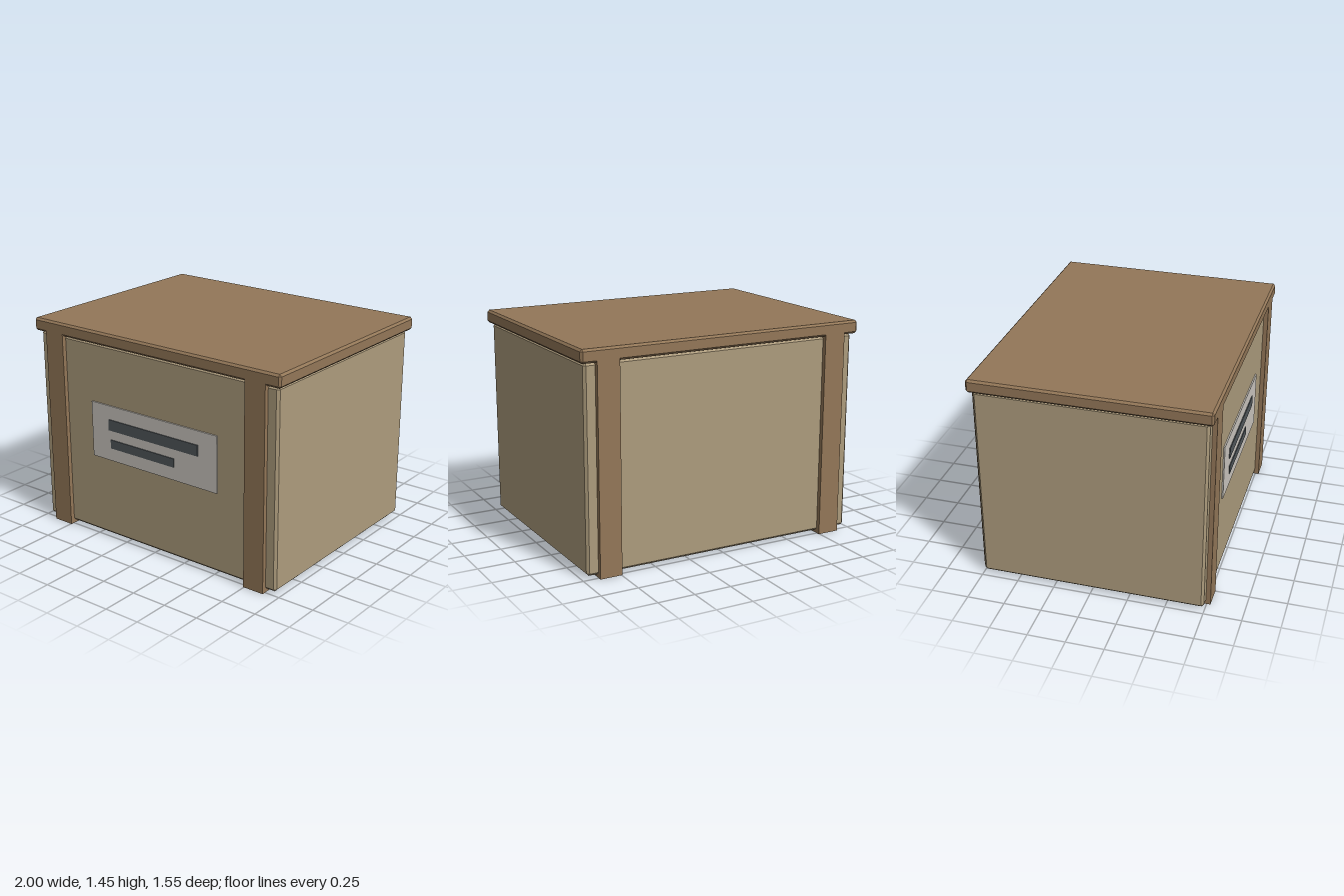
import * as THREE from 'three';
import { ConvexGeometry } from 'three/addons/geometries/ConvexGeometry.js';

const material = (name, color) => {
  const m = new THREE.MeshStandardMaterial({ color });
  m.name = name;
  return m;
};

// Box with every edge cut by a flat chamfer c
function chamferedBox(w, h, d, c) {
  const points = [];
  for (const x of [-1, 1]) for (const y of [-1, 1]) for (const z of [-1, 1]) {
    const [X, Y, Z] = [x * w / 2, y * h / 2, z * d / 2];
    points.push(
      new THREE.Vector3(X, Y - y * c, Z - z * c),
      new THREE.Vector3(X - x * c, Y, Z - z * c),
      new THREE.Vector3(X - x * c, Y - y * c, Z));
  }
  return new ConvexGeometry(points);
}

export function createModel() {
  const group = new THREE.Group();
  const card = material('cardboard', 0xad9c7d);
  const wood = material('brown wood', 0x937758);
  const paper = material('label paper', 0xcbc7c0);
  const ink = material('dark ink', 0x51575b);

  // Place a part by its extents; a chamfer of 0 gives a plain box
  function add(name, mat, [x0, x1], [y0, y1], [z0, z1], c = 0) {
    const size = [x1 - x0, y1 - y0, z1 - z0];
    const geometry = c ? chamferedBox(...size, c) : new THREE.BoxGeometry(...size);
    const mesh = new THREE.Mesh(geometry, mat);
    mesh.name = name;
    mesh.position.set((x0 + x1) / 2, (y0 + y1) / 2, (z0 + z1) / 2);
    group.add(mesh);
  }

  add('body', card, [-0.97, 0.97], [0.02, 1.36], [-0.745, 0.745], 0.016);
  add('lid', wood, [-1, 1], [1.362, 1.45], [-0.775, 0.775], 0.014);

  // Straps wrap the front, back and underside
  add('leftStrap', wood, [0.745, 0.895], [0, 1.376], [-0.775, 0.775]);
  add('rightStrap', wood, [-0.895, -0.745], [0, 1.376], [-0.775, 0.775]);

  // Front label with two printed bars
  add('label', paper, [-0.522, 0.522], [0.57, 0.955], [0.745, 0.754]);
  add('upperLabelBar', ink, [-0.373, 0.373], [0.785, 0.86], [0.753, 0.76]);
  add('lowerLabelBar', ink, [-0.358, 0.178], [0.66, 0.72], [0.753, 0.76]);

  return group;
}
